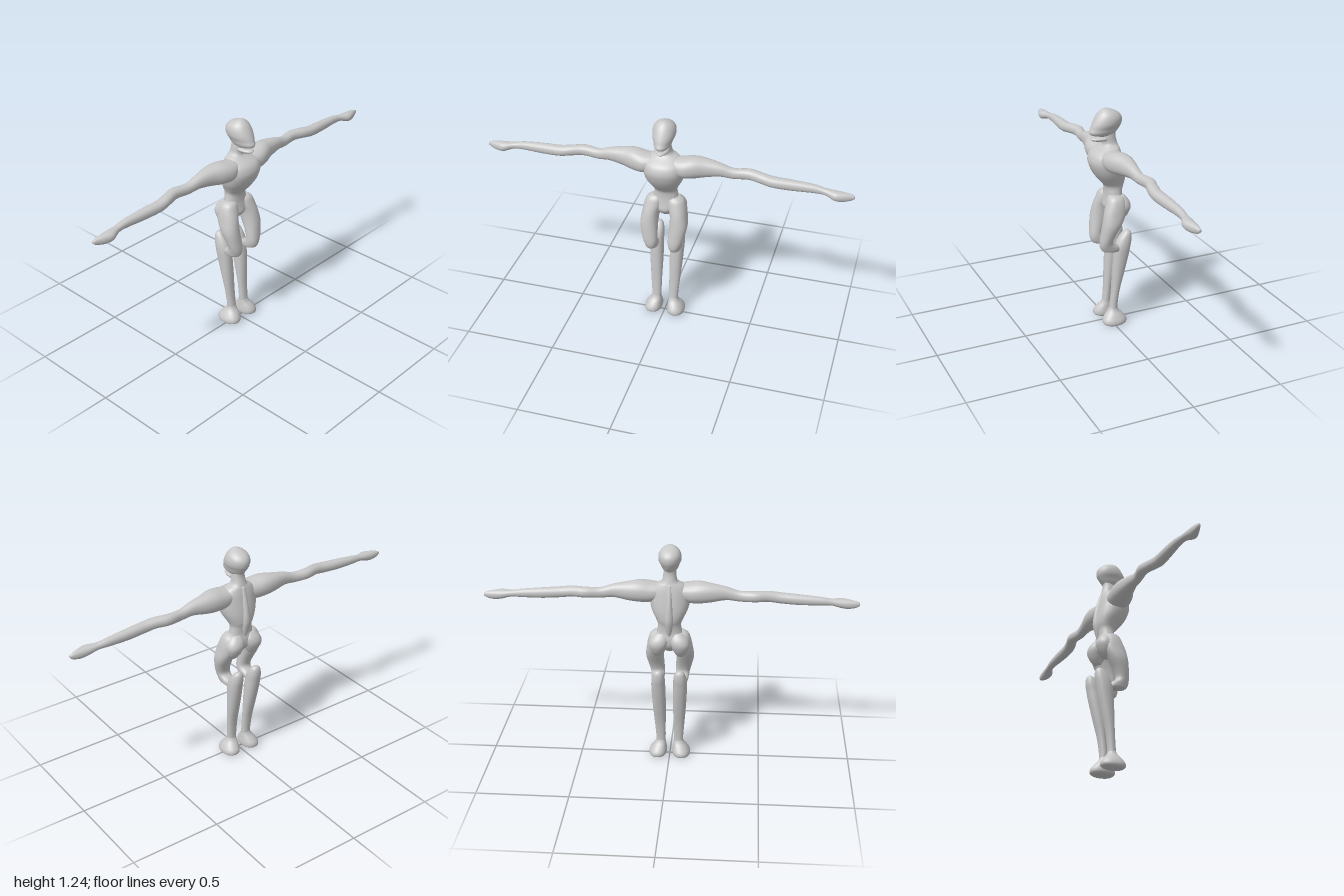
import * as THREE from 'three';

const skin = new THREE.MeshStandardMaterial({ color: 0xc8c8c8 });
skin.name = 'paleGrey';

// Catmull-Rom blend between section rows
function blend(rows, i, f) {
  const at = k => rows[Math.max(0, Math.min(rows.length - 1, k))];
  const [a, b, c, d] = [at(i - 1), at(i), at(i + 1), at(i + 2)];
  return b.map((p, k) => {
    const m0 = (c[k] - a[k]) / 2, m1 = (d[k] - p) / 2, f2 = f * f, f3 = f2 * f;
    return (2 * f3 - 3 * f2 + 1) * p + (f3 - 2 * f2 + f) * m0 + (3 * f2 - 2 * f3) * c[k] + (f3 - f2) * m1;
  });
}

// Closed loft through oval sections.
// axis 'y': rows are [y, xMin, xMax, zMin, zMax]; axis 'x': rows are [x, yMin, yMax, zMin, zMax]
function loft(name, axis, rows, { mirror = false, steps = 4, sides = 24, power = 0.9 } = {}) {
  const rings = [];
  for (let i = 0; i < rows.length - 1; i++)
    for (let s = 0; s < steps; s++) rings.push(blend(rows, i, s / steps));
  rings.push(rows[rows.length - 1]);
  const tip = r => [r[0], (r[1] + r[2]) / 2, (r[1] + r[2]) / 2, (r[3] + r[4]) / 2, (r[3] + r[4]) / 2];
  rings.unshift(tip(rings[0]));
  rings.push(tip(rings[rings.length - 1]));

  const pos = [], idx = [], round = v => Math.sign(v) * Math.abs(v) ** power;
  for (const [t, u0, u1, v0, v1] of rings)
    for (let j = 0; j < sides; j++) {
      const a = j / sides * Math.PI * 2;
      const u = (u0 + u1) / 2 + round(Math.cos(a)) * (u1 - u0) / 2;
      const v = (v0 + v1) / 2 + round(Math.sin(a)) * (v1 - v0) / 2;
      const p = axis === 'y' ? [u, t, v] : [t, u, v];
      pos.push(mirror ? -p[0] : p[0], p[1], p[2]);
    }
  const flip = (axis === 'y') !== mirror;
  for (let i = 0; i < rings.length - 1; i++)
    for (let j = 0; j < sides; j++) {
      const a = i * sides + j, b = i * sides + (j + 1) % sides, c = a + sides, d = b + sides;
      if (flip) idx.push(a, c, b, b, c, d);
      else idx.push(a, b, c, b, d, c);
    }
  const geo = new THREE.BufferGeometry();
  geo.setAttribute('position', new THREE.Float32BufferAttribute(pos, 3));
  geo.setIndex(idx);
  geo.computeVertexNormals();
  const mesh = new THREE.Mesh(geo, skin);
  mesh.name = name;
  return mesh;
}

// Row symmetric about x = 0
const sym = ([y, w, z0, z1]) => [y, -w, w, z0, z1];

export function createModel() {
  const model = new THREE.Group();
  model.name = 'figure';

  // Torso from crotch to neck
  model.add(loft('torso', 'y', [
    [0.655, 0.025, -0.04, 0.0], [0.69, 0.05, -0.07, 0.03], [0.73, 0.075, -0.075, 0.025],
    [0.77, 0.068, -0.068, 0.02], [0.81, 0.062, -0.072, 0.024], [0.84, 0.073, -0.08, 0.05],
    [0.88, 0.094, -0.08, 0.08], [0.92, 0.106, -0.075, 0.1], [0.96, 0.11, -0.068, 0.108],
    [1.0, 0.105, -0.06, 0.092], [1.03, 0.075, -0.052, 0.05], [1.05, 0.042, -0.046, 0.034],
    [1.09, 0.034, -0.037, 0.04], [1.12, 0.03, -0.04, 0.03],
  ].map(sym)));

  // Raised ridge along the back
  model.add(loft('spine', 'y', [
    [0.75, 0.01, -0.07, -0.04], [0.8, 0.02, -0.086, -0.04], [0.85, 0.024, -0.096, -0.04],
    [0.92, 0.02, -0.088, -0.03], [0.98, 0.017, -0.073, -0.02], [1.04, 0.014, -0.052, -0.01],
  ].map(sym), { sides: 12 }));

  // Skull with long upper muzzle
  model.add(loft('head', 'y', [
    [1.092, 0.022, -0.025, 0.06], [1.103, 0.036, -0.036, 0.1], [1.118, 0.045, -0.048, 0.11],
    [1.135, 0.05, -0.06, 0.103], [1.16, 0.06, -0.072, 0.093], [1.19, 0.06, -0.072, 0.077],
    [1.215, 0.049, -0.052, 0.06], [1.232, 0.029, -0.018, 0.042], [1.24, 0.01, 0.008, 0.027],
  ].map(sym), { power: 1 }));

  // Lower jaw
  model.add(loft('jaw', 'y', [
    [1.064, 0.015, 0.0, 0.06], [1.07, 0.029, -0.02, 0.09],
    [1.08, 0.033, -0.025, 0.104], [1.088, 0.026, -0.02, 0.092],
  ].map(sym), { power: 1 }));

  for (const mirror of [false, true]) {
    const side = mirror ? 'right' : 'left', opt = { mirror };

    // Arm and flat mitten hand, reaching straight out
    model.add(loft(side + 'Arm', 'x', [
      [0.03, 0.95, 1.025, -0.04, 0.06], [0.1, 0.925, 1.034, -0.052, 0.078],
      [0.16, 0.925, 1.042, -0.057, 0.068], [0.22, 0.934, 1.036, -0.052, 0.045],
      [0.3, 0.948, 1.02, -0.036, 0.028], [0.37, 0.943, 1.0, -0.034, 0.018],
      [0.45, 0.946, 1.003, -0.048, 0.012], [0.52, 0.944, 1.0, -0.032, 0.03],
      [0.58, 0.935, 0.992, -0.025, 0.036], [0.68, 0.93, 0.986, -0.028, 0.028],
      [0.79, 0.932, 0.977, -0.026, 0.018], [0.85, 0.932, 0.967, -0.02, 0.02],
      [0.9, 0.917, 0.966, -0.02, 0.04], [0.94, 0.912, 0.963, -0.018, 0.032],
      [0.98, 0.92, 0.956, -0.012, 0.016], [1.0, 0.932, 0.948, -0.006, 0.008],
    ], opt));

    // Thigh, curling back under at the knee
    model.add(loft(side + 'Thigh', 'y', [
      [0.445, 0.045, 0.085, -0.04, 0.02], [0.455, 0.034, 0.097, -0.04, 0.062],
      [0.475, 0.03, 0.102, -0.03, 0.077], [0.505, 0.03, 0.108, 0.008, 0.08],
      [0.55, 0.032, 0.12, -0.002, 0.076], [0.61, 0.034, 0.131, -0.035, 0.069],
      [0.67, 0.03, 0.124, -0.065, 0.058], [0.72, 0.015, 0.115, -0.07, 0.042],
      [0.755, 0.015, 0.1, -0.058, 0.028], [0.77, 0.03, 0.075, -0.03, 0.01],
    ], opt));

    // Buttock
    model.add(loft(side + 'Buttock', 'y', [
      [0.63, 0.04, 0.08, -0.058, -0.02], [0.66, 0.022, 0.1, -0.082, 0],
      [0.7, 0.008, 0.11, -0.098, 0], [0.735, 0.004, 0.1, -0.09, 0], [0.765, 0.02, 0.07, -0.065, -0.02],
    ], opt));

    // Shin, rising behind the thigh to a pointed heel of the knee
    model.add(loft(side + 'Shin', 'y', [
      [0.05, 0.025, 0.08, -0.035, 0.025], [0.1, 0.023, 0.075, -0.029, 0.014],
      [0.2, 0.022, 0.082, -0.04, 0.005], [0.3, 0.02, 0.09, -0.064, 0.001],
      [0.4, 0.02, 0.096, -0.088, -0.005], [0.46, 0.022, 0.098, -0.1, -0.012],
      [0.505, 0.024, 0.094, -0.108, -0.03], [0.54, 0.032, 0.085, -0.106, -0.057],
      [0.555, 0.047, 0.07, -0.096, -0.075],
    ], opt));

    // Flared hoof-like foot
    model.add(loft(side + 'Foot', 'y', [
      [0.0, 0.03, 0.105, -0.06, 0.045], [0.01, 0.018, 0.114, -0.075, 0.06],
      [0.03, 0.016, 0.112, -0.075, 0.06], [0.055, 0.019, 0.098, -0.057, 0.045],
      [0.08, 0.022, 0.08, -0.035, 0.022], [0.11, 0.027, 0.07, -0.024, 0.01],
    ], opt));
  }
  return model;
}
